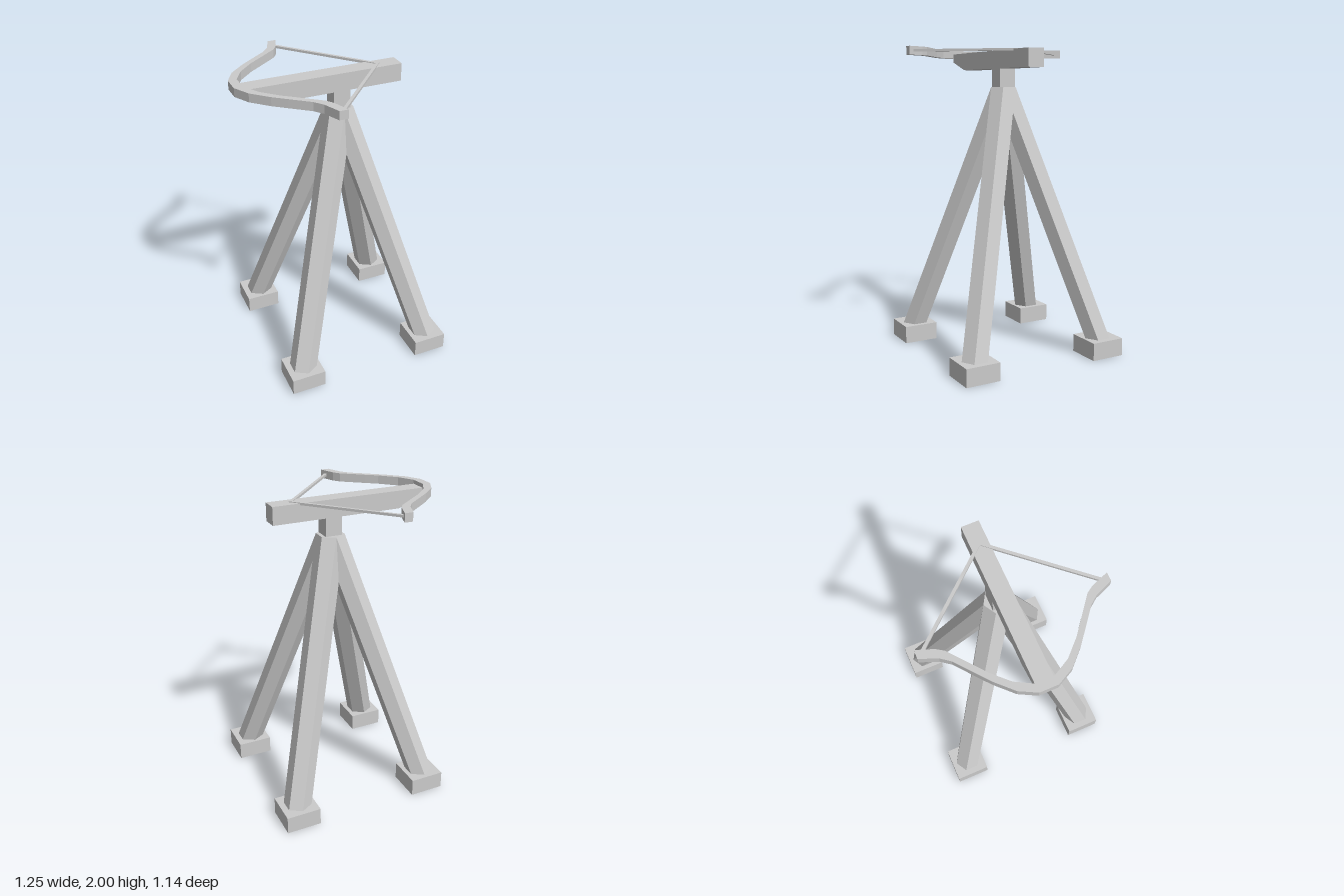
import * as THREE from 'three';

const material = new THREE.MeshStandardMaterial({ color: 0xcccccc, flatShading: true });
const CX = 0.052; // axis of the stand

function add(parent, name, geometry, x = 0, y = 0, z = 0) {
  const mesh = new THREE.Mesh(geometry, material);
  mesh.name = name;
  mesh.position.set(x, y, z);
  parent.add(mesh);
  return mesh;
}

const toShape = (points) => new THREE.Shape(points.map(([x, y]) => new THREE.Vector2(x, y)));

// Extrudes an outline
const slab = (points, depth) =>
  new THREE.ExtrudeGeometry(toShape(points), { depth, bevelEnabled: false });

// Flat slab drawn in plan from one half of its outer and inner edges, mirrored across z = 0
function plan(outer, inner, height) {
  const flip = (pts) => pts.map(([x, z]) => [x, -z]);
  const ring = [
    ...outer, ...[...inner].reverse(),
    ...flip(inner), ...flip(outer).reverse(),
  ].filter((p, i, a) => {
    const q = a[(i + 1) % a.length];
    return Math.hypot(p[0] - q[0], p[1] - q[1]) > 1e-6;
  });
  return slab(ring, height).rotateX(-Math.PI / 2);
}

// Hexagonal leg sheared outwards, so both ends stay level
function legGeometry(dx, dz) {
  const bottom = 0.11, top = 1.742, h = top - bottom;
  const g = new THREE.CylinderGeometry(0.091, 0.091, h, 6);
  const p = g.attributes.position;
  for (let i = 0; i < p.count; i++) {
    const t = 0.5 - p.getY(i) / h;
    p.setXYZ(i, p.getX(i) + dx * t, p.getY(i) + bottom + h / 2, p.getZ(i) + dz * t);
  }
  g.computeVertexNormals();
  return g;
}

export function createModel() {
  const model = new THREE.Group();
  model.name = 'mountedCrossbow';

  // Four splayed legs on block feet
  const stand = new THREE.Group();
  stand.name = 'stand';
  model.add(stand);
  for (const sx of [-1, 1]) {
    for (const sz of [-1, 1]) {
      add(stand, 'leg', legGeometry(sx * 0.453, sz * 0.453), CX);
      add(stand, 'foot', new THREE.BoxGeometry(0.228, 0.115, 0.228),
        CX + sx * 0.456, 0.0575, sz * 0.457);
    }
  }

  // Post between the stand and the stock
  add(model, 'post', new THREE.BoxGeometry(0.11, 0.125, 0.11), CX, 1.7995, 0);

  // Stock with a slanted underside at its tip
  add(model, 'stock', slab([
    [-0.575, 1.918], [-0.405, 1.86], [0.452, 1.86], [0.452, 1.975], [-0.575, 1.975],
  ], 0.11), 0, 0, -0.055);

  // Recurved bow
  const bowOuter = [[-0.627, 0.057], [-0.573, 0.16], [-0.475, 0.257], [-0.4, 0.318],
    [-0.285, 0.41], [-0.243, 0.465], [-0.2, 0.572]];
  const bowInner = [[-0.573, 0.057], [-0.516, 0.16], [-0.42, 0.257], [-0.35, 0.312],
    [-0.215, 0.42], [-0.185, 0.465], [-0.145, 0.572]];
  add(model, 'bow', plan(bowOuter, bowInner, 0.055), 0, 1.945, 0);

  // Drawn string
  add(model, 'bowString', plan(
    [[0.3, 0], [-0.17, 0.528]],
    [[0.325, 0], [-0.157, 0.542]], 0.015), 0, 1.965, 0);

  return model;
}
